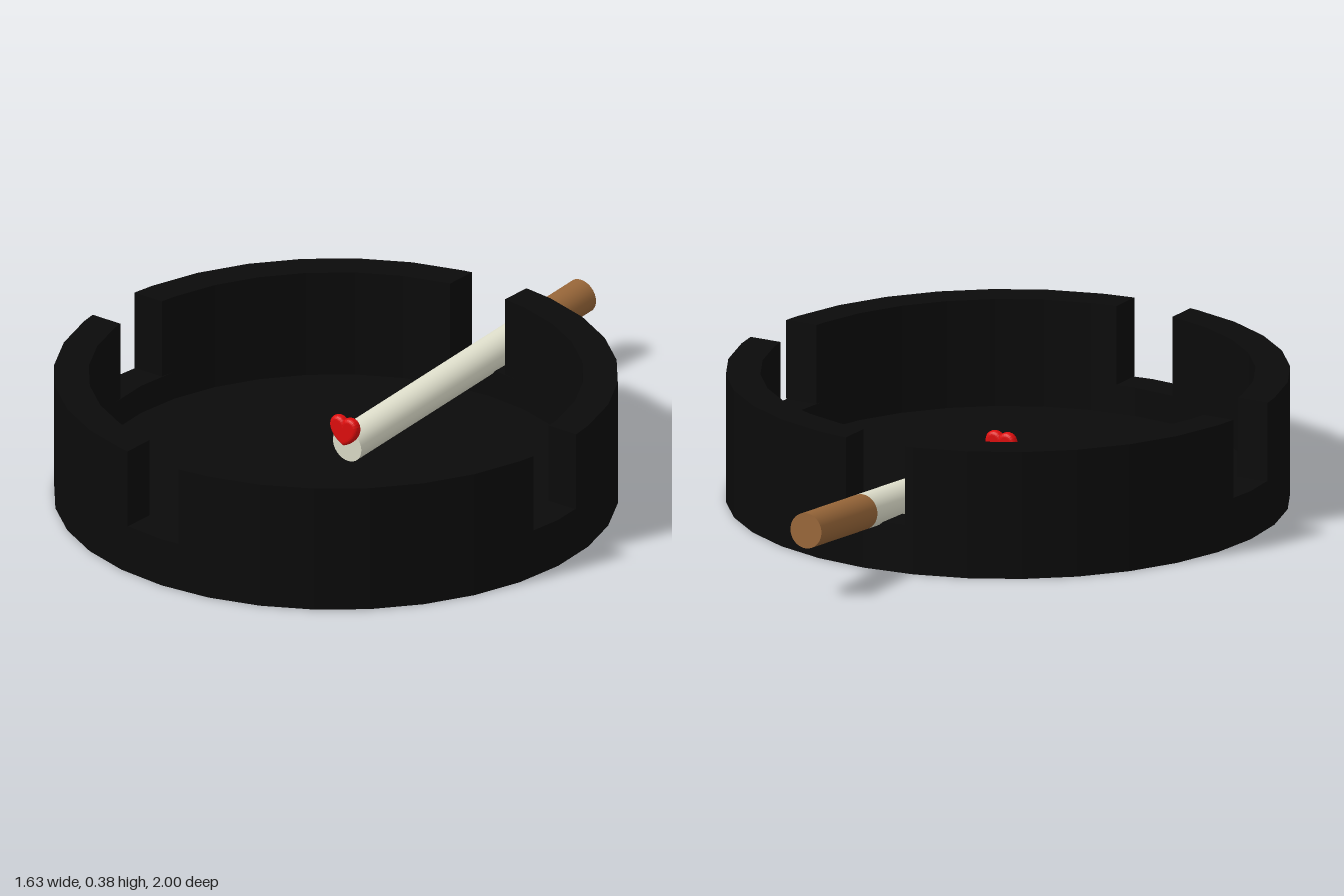
import * as THREE from 'three';

const material = (color) => new THREE.MeshStandardMaterial({ color });

export function createModel() {
  const model = new THREE.Group();
  const black = material(0x0a0a0a);
  const SIDES = 32, OUTER = 0.815, INNER = 0.715;
  const FLOOR = 0.06, SLOT = 0.145, TOP = 0.382;

  const add = (parent, name, geometry, mat) => {
    const mesh = new THREE.Mesh(geometry, mat);
    mesh.name = name;
    parent.add(mesh);
    return mesh;
  };

  // Upright extrusion of a plan shape between two heights
  const extrudeUp = (shape, y0, y1) =>
    new THREE.ExtrudeGeometry(shape, { depth: y1 - y0, bevelEnabled: false })
      .rotateX(-Math.PI / 2).translate(0, y0, 0);

  const polygon = (r) => Array.from({ length: SIDES }, (_, k) => {
    const a = (k / SIDES) * Math.PI * 2;
    return new THREE.Vector2(r * Math.cos(a), r * Math.sin(a));
  });

  // Tray: floor, low ring and four wall sections separated by rest slots
  const tray = new THREE.Group();
  tray.name = 'tray';
  tray.position.z = 0.18;
  model.add(tray);

  add(tray, 'trayFloor', extrudeUp(new THREE.Shape(polygon(OUTER)), 0, FLOOR), black);
  const ring = new THREE.Shape(polygon(OUTER));
  ring.holes.push(new THREE.Path(polygon(INNER)));
  add(tray, 'lowerRing', extrudeUp(ring, FLOOR, SLOT), black);

  // One quarter arc, trimmed where the slots cut it
  const quarterArc = (r, sx, sy, xCut, yCut) => {
    const points = [[Math.sqrt(r * r - yCut * yCut), yCut]];
    for (let k = 0; k <= SIDES / 4; k++) {
      const a = (k / SIDES) * Math.PI * 2;
      const x = r * Math.cos(a), y = r * Math.sin(a);
      if (x > xCut && y > yCut) points.push([x, y]);
    }
    points.push([xCut, Math.sqrt(r * r - xCut * xCut)]);
    return points.map(([x, y]) => new THREE.Vector2(sx * x, sy * y));
  };
  for (const sx of [1, -1]) {
    for (const sy of [1, -1]) {
      const xCut = sx > 0 ? 0.06 : 0.133;
      const yCut = sy > 0 ? 0.09 : 0.107;
      const shape = new THREE.Shape([
        ...quarterArc(OUTER, sx, sy, xCut, yCut),
        ...quarterArc(INNER, sx, sy, xCut, yCut).reverse(),
      ]);
      add(tray, 'wallSection', extrudeUp(shape, SLOT, TOP), black);
    }
  }

  // Cigarette: paper and filter along one sloping axis
  const tip = new THREE.Vector3(-0.022, 0.122, 0.1);
  const end = new THREE.Vector3(-0.022, 0.208, -0.996);
  const joint = tip.clone().lerp(end, 0.712);
  const cigarette = new THREE.Group();
  cigarette.name = 'cigarette';
  model.add(cigarette);
  const rod = (name, a, b, color) => {
    const mesh = add(cigarette, name,
      new THREE.CylinderGeometry(0.052, 0.052, a.distanceTo(b), 32), material(color));
    mesh.position.copy(a).lerp(b, 0.5);
    mesh.quaternion.setFromUnitVectors(new THREE.Vector3(0, 1, 0), b.clone().sub(a).normalize());
  };
  rod('paper', tip, joint, 0xdedecb);
  rod('filter', joint, end, 0x966538);

  // Rounded heart-shaped ember on the tip
  const heart = new THREE.Shape();
  heart.moveTo(0, -0.034);
  for (const s of [1, -1]) {
    const curve = s > 0
      ? [[0.02, -0.026, 0.04, -0.006, 0.04, 0.014], [0.04, 0.04, 0.006, 0.042, 0, 0.016]]
      : [[-0.006, 0.042, -0.04, 0.04, -0.04, 0.014], [-0.04, -0.006, -0.02, -0.026, 0, -0.034]];
    curve.forEach((c) => heart.bezierCurveTo(...c));
  }
  const ember = add(model, 'heartEmber', new THREE.ExtrudeGeometry(heart, {
    depth: 0.006, bevelThickness: 0.012, bevelSize: 0.012, bevelOffset: -0.002,
    bevelSegments: 5, curveSegments: 10,
  }), material(0xdd0d0d));
  ember.position.set(-0.017, 0.174, 0.112);

  return model;
}
